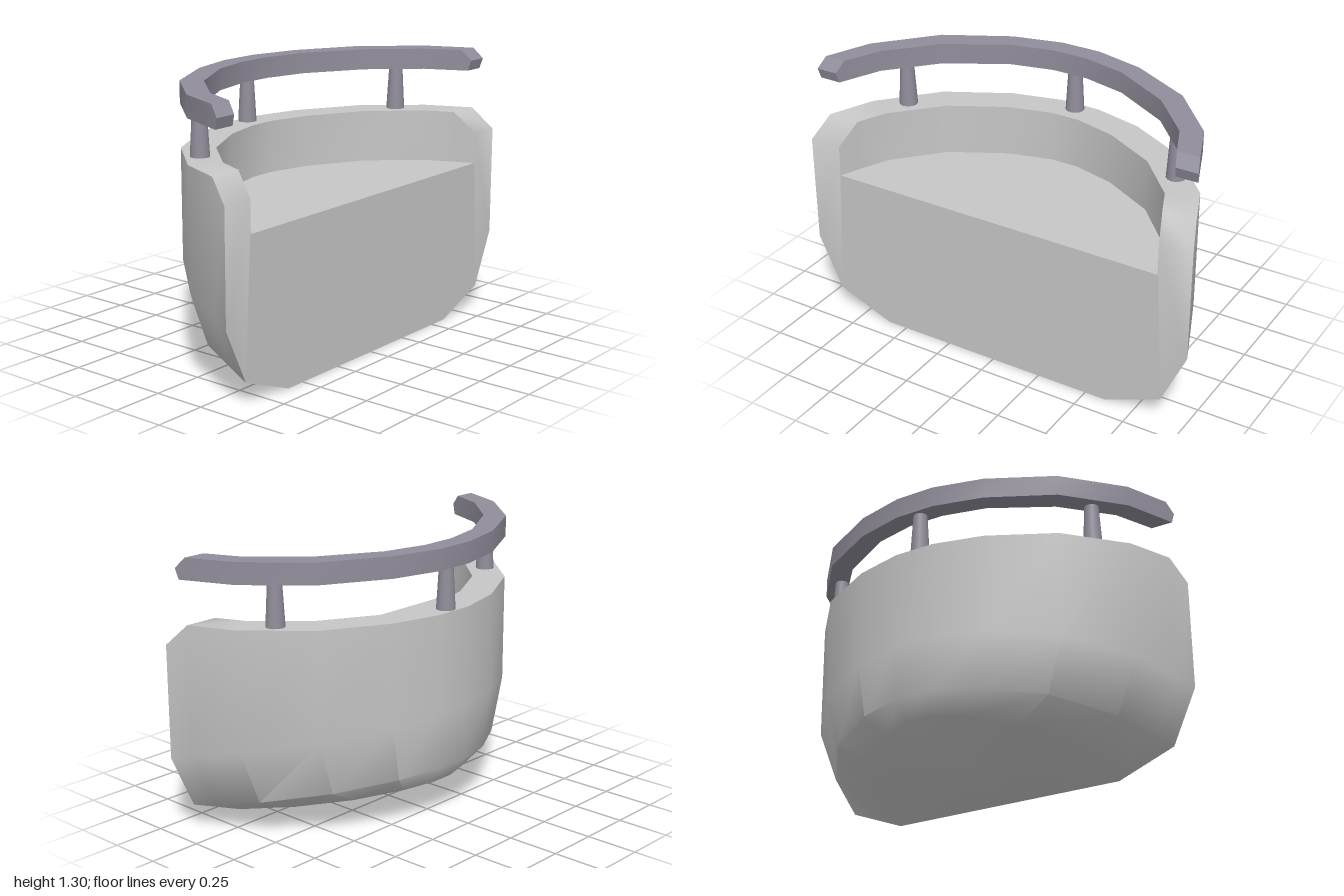
import * as THREE from 'three';
import { toCreasedNormals } from 'three/addons/utils/BufferGeometryUtils.js';

// Skin a row of equal-length closed sections, and cap both ends.
function loft(sections, crease) {
  const pos = [];
  const tri = (a, b, c) => {
    const area = b.clone().sub(a).cross(c.clone().sub(a)).length();
    if (area > 1e-7) for (const p of [a, b, c]) pos.push(p.x, p.y, p.z);
  };
  const quad = (a, b, c, d) => { tri(a, b, c); tri(a, c, d); };
  const n = sections[0].length;
  for (let i = 0; i < sections.length - 1; i++) {
    const s = sections[i], t = sections[i + 1];
    for (let j = 0; j < n; j++) {
      const k = (j + 1) % n;
      quad(s[j], t[j], t[k], s[k]);
    }
  }
  const first = sections[0], last = sections[sections.length - 1];
  for (let j = 0; j < n / 2 - 1; j++) {
    const a = j, b = j + 1, c = n - 2 - j, d = n - 1 - j;
    quad(first[a], first[b], first[c], first[d]);
    tri(last[a], last[c], last[b]);
    tri(last[a], last[d], last[c]);
  }
  const g = new THREE.BufferGeometry();
  g.setAttribute('position', new THREE.Float32BufferAttribute(pos, 3));
  return toCreasedNormals(g, crease);
}

// Mirror half of the stations (z > 0) to the other side.
const mirrorZ = half => [
  ...half,
  ...half.slice().reverse().map(s => s.map(p => new THREE.Vector3(p.x, p.y, -p.z))),
];

const V = (x, y, z) => new THREE.Vector3(x, y, z);

export function createModel() {
  const group = new THREE.Group();
  const shell = new THREE.MeshStandardMaterial({ color: 0xc6c6c6 });
  shell.name = 'light grey shell';
  const metal = new THREE.MeshStandardMaterial({ color: 0x918d9b });
  metal.name = 'purple grey metal';

  const add = (name, geometry, material) => {
    const mesh = new THREE.Mesh(geometry, material);
    mesh.name = name;
    group.add(mesh);
    return mesh;
  };

  // Half-round tub: plan stations as [outer x, outer z, inner x, inner z, rim y]
  const plan = [
    [0.4, 1, 0.4, 0.84, 0.9],
    [0.3, 0.96, 0.3, 0.8, 1],
    [0.08, 0.87, 0.16, 0.74, 1],
    [-0.18, 0.64, -0.06, 0.54, 1],
    [-0.34, 0.34, -0.2, 0.28, 1],
    [-0.4, 0.1, -0.255, 0.07, 1],
  ];
  const tub = plan.map(([ox, oz, ix, iz, top]) => {
    const back = 0.4 - ox;
    const keelX = 0.4 - back * 0.925;
    return [
      V(0.4, 0.75, 0),                                // floor centre
      V(ix, 0.75, iz),                                // floor edge
      V(ix, top, iz),                                 // inner rim
      V(ox, top, oz),                                 // outer rim
      V(ox, 0.37 + back * 0.2, oz),                   // knee
      V(ox, 0.11 + back * 0.2, oz * 0.88),            // lower bevel
      V(keelX, (0.4 - keelX) * 0.243, oz * 0.6),      // underside edge
      V(0.4, 0, 0),                                   // underside centre
    ];
  });
  add('tub', loft(mirrorZ(tub), 0.8), shell);

  // Handrail with pointed ends
  const railRow = (ox, oz, ix, iz) => [
    V(ox, 1.3, oz), V(ox, 1.25, oz), V(ox, 1.2, oz),
    V(ix, 1.2, iz), V(ix, 1.25, iz), V(ix, 1.3, iz),
  ];
  const outerZ = x => 0.87 + (x - 0.08) * 0.406;
  const innerZ = x => 0.78 + (x - 0.13) * 0.43;
  const railEnd = [
    ...[[0.3, 1.3], [0.345, 1.25], [0.33, 1.2]].map(([x, y]) => V(x, y, outerZ(x))),
    ...[[0.33, 1.2], [0.345, 1.25], [0.3, 1.3]].map(([x, y]) => V(x, y, innerZ(x))),
  ];
  const rail = [
    railEnd,
    railRow(0.08, 0.87, 0.13, 0.78),
    railRow(-0.18, 0.64, -0.09, 0.58),
    railRow(-0.34, 0.34, -0.25, 0.3),
    railRow(-0.4, 0.1, -0.3, 0.09),
  ];
  add('handrail', loft(mirrorZ(rail), 0.55), metal);

  // Tapered posts under the rail
  const postGeometry = new THREE.CylinderGeometry(0.033, 0.045, 0.21, 12);
  const posts = [['leftPost', 0.005, 0.715], ['middlePost', -0.35, 0], ['rightPost', 0.005, -0.715]];
  for (const [name, x, z] of posts) add(name, postGeometry, metal).position.set(x, 1.1, z);

  return group;
}
